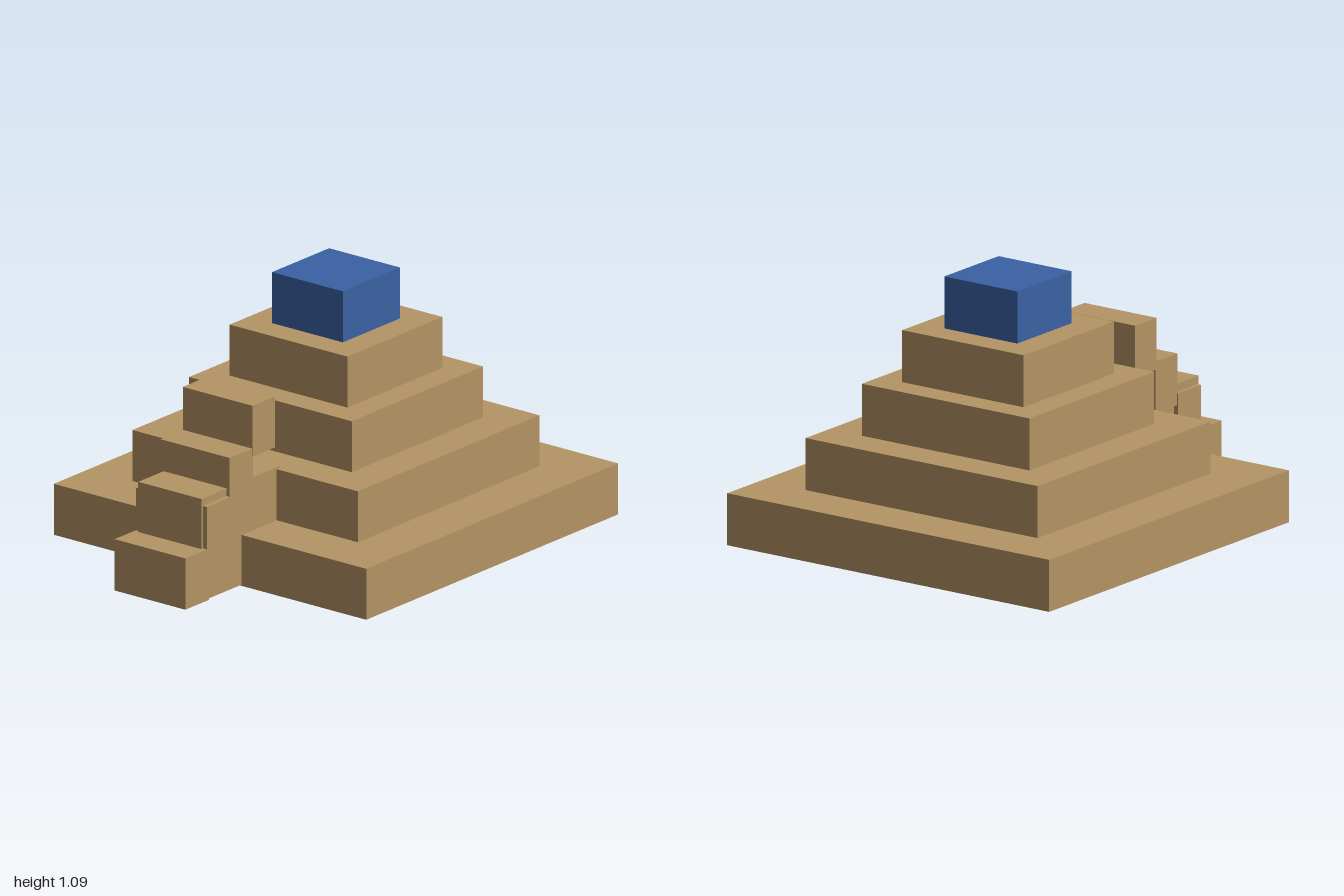
import * as THREE from 'three';

export function createModel() {
  const group = new THREE.Group();
  const sandstone = new THREE.MeshStandardMaterial({ color: 0xb49464 });
  sandstone.name = 'sandstone';
  const blue = new THREE.MeshStandardMaterial({ color: 0x3a62a4 });
  blue.name = 'blue';

  // Block given by its half width and its y and z ranges
  function block(name, material, halfWidth, y0, y1, z0, z1) {
    const mesh = new THREE.Mesh(new THREE.BoxGeometry(2 * halfWidth, y1 - y0, z1 - z0), material);
    mesh.position.set(0, (y0 + y1) / 2, (z0 + z1) / 2);
    mesh.name = name;
    group.add(mesh);
  }

  // Stacked square tiers, with the shrine on top
  const tierHeight = 0.2176;
  const tierCentre = -0.192;
  [0.807, 0.582, 0.42, 0.304].forEach((half, i) =>
    block('tier' + (i + 1), sandstone, half, i * tierHeight, (i + 1) * tierHeight,
      tierCentre - half, tierCentre + half));
  block('shrine', blue, 0.183, 4 * tierHeight, 5 * tierHeight, tierCentre - 0.183, tierCentre + 0.183);

  // Solid core behind the stairs
  block('stairCore', sandstone, 0.163, 0.005, 0.443, 0.37, 0.873);

  // Stair blocks climbing towards the tiers: half width, bottom, top, back, front
  [
    [0.183, 0.01, 0.229, 0.85, 1.0],
    [0.183, 0.19, 0.41, 0.706, 0.862],
    [0.178, 0.36, 0.576, 0.562, 0.71],
    [0.18, 0.542, 0.759, 0.422, 0.566],
  ].forEach((s, i) => block('stair' + (i + 1), sandstone, ...s));

  return group;
}
